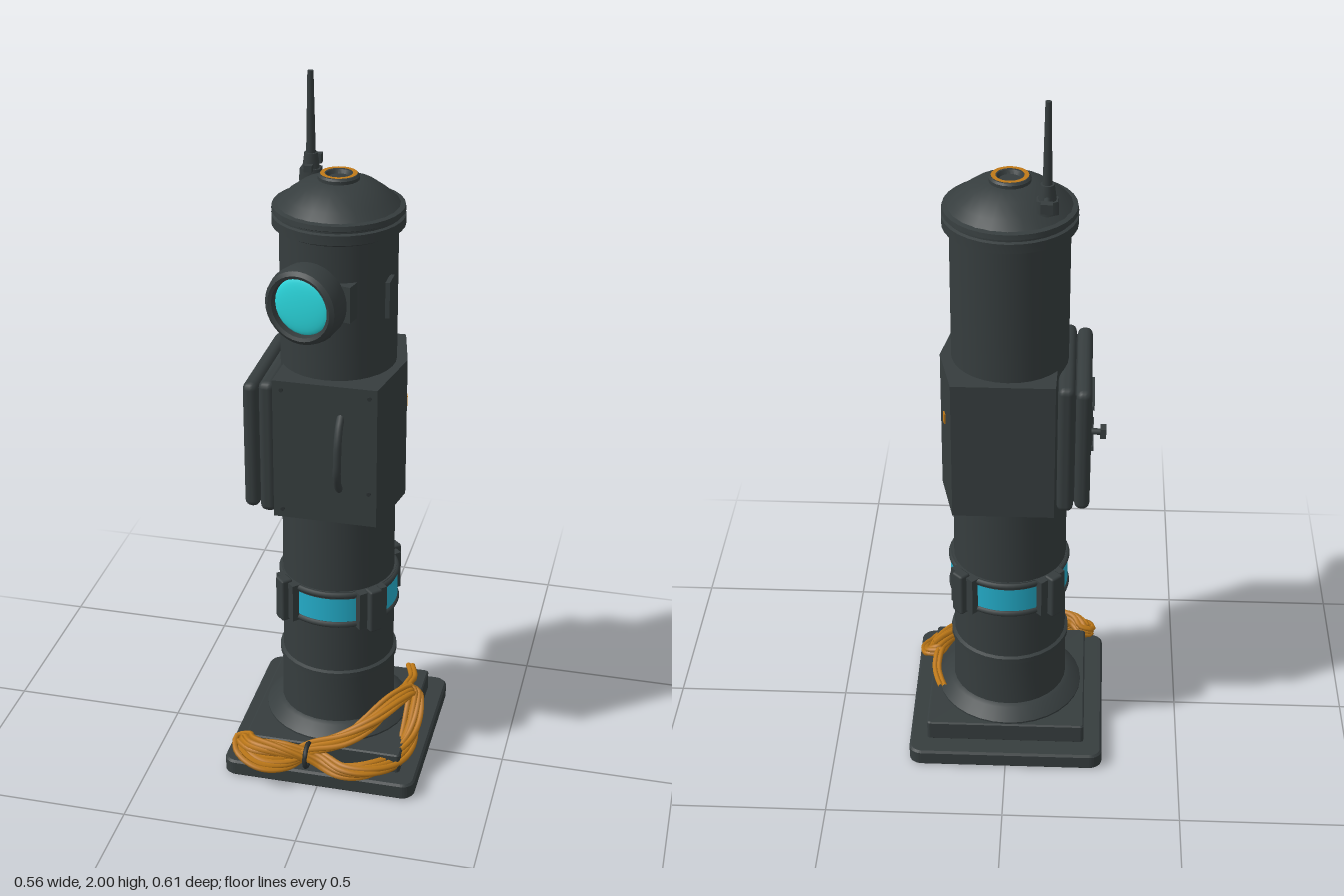
import * as THREE from 'three';
import { RoundedBoxGeometry } from 'three/addons/geometries/RoundedBoxGeometry.js';
import { toCreasedNormals } from 'three/addons/utils/BufferGeometryUtils.js';

const material = (name, color, side = THREE.FrontSide) => {
  const m = new THREE.MeshStandardMaterial({ color, side });
  m.name = name;
  return m;
};
const V = (x, y, z) => new THREE.Vector3(x, y, z);
const AXIS_Z = -0.032; // column axis

export function createModel() {
  const charcoal = material('charcoal metal', 0x363d3e);
  const dark = material('dark metal', 0x2b3132);
  const lensCyan = material('lens cyan', 0x2ad6dc);
  const panelBlue = material('panel blue', 0x24aecb, THREE.DoubleSide);
  const orange = material('orange cable', 0xc07a18);

  const model = new THREE.Group();
  model.name = 'beaconPost';
  const add = (name, geometry, mat, pos = [0, 0, 0], parent = model) => {
    const mesh = new THREE.Mesh(geometry, mat);
    mesh.name = name;
    mesh.position.set(...pos);
    parent.add(mesh);
    return mesh;
  };
  const group = (name, x, y, z, parent = model) => {
    const g = new THREE.Group();
    g.name = name;
    g.position.set(x, y, z);
    parent.add(g);
    return g;
  };
  const lathe = (pts, seg = 32) =>
    toCreasedNormals(new THREE.LatheGeometry(pts.map(p => new THREE.Vector2(...p)), seg), 0.5);
  const cyl = (r1, r2, h, seg = 24) => new THREE.CylinderGeometry(r1, r2, h, seg);
  const box = (w, h, d) => new THREE.BoxGeometry(w, h, d);

  // Slab with rounded plan corners, lying flat
  const slab = (hw, hd, r, h, bevel) => {
    const w = hw - bevel, d = hd - bevel, s = new THREE.Shape();
    [[w - r, d - r, 0], [r - w, d - r, 1], [r - w, r - d, 2], [w - r, r - d, 3]].forEach(
      ([x, y, q]) => s.absarc(x, y, r, q * Math.PI / 2, (q + 1) * Math.PI / 2, false));
    const g = new THREE.ExtrudeGeometry(s, {
      depth: h - 2 * bevel, bevelThickness: bevel, bevelSize: bevel, bevelSegments: 1, curveSegments: 4 });
    return g.translate(0, 0, bevel).rotateX(-Math.PI / 2);
  };

  // Stepped base
  add('basePlate', slab(0.28, 0.28, 0.03, 0.05, 0.006), charcoal, [0, 0, -0.025]);
  add('baseStep', slab(0.228, 0.223, 0.006, 0.062, 0.004), charcoal, [0.002, 0.048, -0.023]);

  // Column with foot flare, ring, top flange and dome
  const core = group('column', -0.003, 0, AXIS_Z);
  add('columnBody', lathe([
    [0.21, 0.1], [0.21, 0.115], [0.178, 0.145], [0.165, 0.15], [0.162, 0.3], [0.17, 0.303],
    [0.17, 0.318], [0.161, 0.322], [0.158, 1.0], [0.158, 1.625]]), charcoal, [0, 0, 0], core);
  add('topFlange', lathe([
    [0.157, 1.618], [0.177, 1.628], [0.177, 1.654], [0.169, 1.657], [0.169, 1.662],
    [0.177, 1.666], [0.175, 1.679], [0.16, 1.682]]), charcoal, [0, 0, 0], core);
  add('dome', lathe([[0.166, 1.678], [0.14, 1.703], [0.1, 1.732], [0.06, 1.746], [0, 1.748]], 24),
    charcoal, [0, 0, 0], core);
  add('domeCap', lathe([
    [0.055, 1.74], [0.055, 1.755], [0.05, 1.76], [0.034, 1.76], [0.028, 1.75], [0, 1.75]], 20),
    charcoal, [0, 0, 0], core);
  const capRing = new THREE.RingGeometry(0.037, 0.049, 24).rotateX(-Math.PI / 2);
  add('capRing', capRing, orange, [0, 1.762, 0], core);

  // Antenna on a hexagonal nut with a side clamp
  const antenna = group('antenna', -0.1, 0, -0.122);
  add('antennaNut', cyl(0.031, 0.034, 0.035, 6), charcoal, [0, 1.722, 0], antenna);
  add('antennaSocket', cyl(0.018, 0.024, 0.045, 12), charcoal, [0, 1.758, 0], antenna);
  add('antennaRod', cyl(0.008, 0.013, 0.23, 10), charcoal, [0, 1.885, 0], antenna);
  const arm = cyl(0.009, 0.009, 0.06, 8).rotateX(Math.PI / 2);
  add('clampArm', arm, charcoal, [0, 1.745, -0.03], antenna);
  add('clampKnob', box(0.03, 0.026, 0.022), charcoal, [0, 1.745, -0.062], antenna);
  add('clampBolt', box(0.022, 0.018, 0.03), charcoal, [0, 1.745, 0.022], antenna);

  // Lamp, turned a little toward the model's right
  const lamp = group('lamp', 0, 1.468, AXIS_Z);
  lamp.rotation.y = -0.24;
  add('lampMount', box(0.2, 0.1, 0.11), charcoal, [0.008, 0, 0.1], lamp);
  add('lampBarrel', lathe([
    [0.085, 0.1], [0.088, 0.155], [0.104, 0.165], [0.107, 0.205], [0.101, 0.228], [0.09, 0.236],
    [0.081, 0.232], [0.079, 0.215], [0.079, 0.205]]).rotateX(Math.PI / 2), charcoal, [0, 0, 0], lamp);
  add('lampLens', new THREE.SphereGeometry(0.08, 24, 8, 0, Math.PI * 2, 0, Math.PI / 2)
    .scale(1, 0.18, 1).rotateX(Math.PI / 2), lensCyan, [0, 0, 0.212], lamp);
  add('sidePlate', box(0.012, 0.1, 0.06), charcoal, [0.151, 1.46, 0.04]);

  // Equipment box with a slightly pointed left side
  const plan = new THREE.Shape([[-0.14, -0.158], [0.146, -0.158], [0.184, 0.05], [0.146, 0.214],
    [-0.13, 0.214]].map(p => new THREE.Vector2(...p)));
  add('equipmentBox', new THREE.ExtrudeGeometry(plan, { depth: 0.41, bevelEnabled: false })
    .rotateX(-Math.PI / 2), charcoal, [0, 0.83, 0]);
  for (const [x, y] of [[-0.115, 0.855], [0.125, 0.93], [-0.115, 1.215], [0.125, 1.215]])
    add('boxScrew', cyl(0.006, 0.006, 0.006, 8).rotateX(Math.PI / 2), dark, [x, y, 0.159]);
  add('labelChip', box(0.006, 0.03, 0.018), orange, [0.169, 1.085, -0.12]).rotation.y = 0.23;

  // Bowed pull handle on the box front
  const bow = new THREE.CatmullRomCurve3([
    V(0.042, 0.93, 0.15), V(0.042, 0.955, 0.172), V(0.045, 1.0, 0.194), V(0.047, 1.04, 0.198),
    V(0.047, 1.085, 0.194), V(0.046, 1.13, 0.172), V(0.046, 1.152, 0.15)]);
  add('frontHandle', new THREE.TubeGeometry(bow, 20, 0.011, 8), charcoal);

  // Side door with latch recess and knob
  const door = group('sideDoor', 0, 1.033, -0.022);
  add('doorFrame', new RoundedBoxGeometry(0.045, 0.39, 0.362, 2, 0.018), charcoal, [-0.158, 0, 0], door);
  add('doorSeal', box(0.02, 0.34, 0.32), dark, [-0.18, 0, 0], door);
  add('doorPanel', new RoundedBoxGeometry(0.042, 0.374, 0.362, 2, 0.019), charcoal, [-0.204, 0, 0], door);
  add('latchPlate', box(0.008, 0.13, 0.14), dark, [-0.225, 0.005, 0.01], door);
  for (const y of [-0.06, 0.07])
    add('latchRail', box(0.012, 0.014, 0.15), charcoal, [-0.227, y, 0.01], door);
  add('latchStem', cyl(0.009, 0.009, 0.04, 8).rotateZ(Math.PI / 2), charcoal, [-0.24, 0, -0.07], door);
  add('latchKnob', box(0.016, 0.03, 0.028), charcoal, [-0.258, 0, -0.07], door);

  // Light band: four curved panels between corner brackets
  const band = group('lightBand', -0.001, 0.53, AXIS_Z);
  const arc = (r, h, half) => new THREE.CylinderGeometry(r, r, h, 12, 1, true, -half, half * 2);
  add('bandBody', cyl(0.164, 0.164, 0.115, 32), charcoal, [0, 0, 0], band);
  for (let i = 0; i < 4; i++) {
    const side = group('bandSide', 0, 0, 0, band);
    side.rotation.y = i * Math.PI / 2;
    add('lightPanel', arc(0.168, 0.074, 0.58), panelBlue, [0, 0, 0], side);
    for (const y of [-0.048, 0.048])
      add('panelRail', new THREE.TorusGeometry(0.164, 0.009, 6, 12, 1.3)
        .rotateZ(Math.PI / 2 - 0.65).rotateX(Math.PI / 2), charcoal, [0, y, 0], side);
    const corner = group('cornerBracket', 0, 0, 0, side);
    corner.rotation.y = Math.PI / 4;
    add('bracketPlate', box(0.09, 0.115, 0.03), charcoal, [0, 0, 0.167], corner);
    add('bracketClasp', new RoundedBoxGeometry(0.04, 0.132, 0.034, 1, 0.006), charcoal, [0, 0, 0.184], corner);
  }

  // Cable bundle: strands twisted round a figure-eight loop
  const loop = new THREE.CatmullRomCurve3([
    V(-0.03, 0.105, 0.222), V(0.06, 0.135, 0.195), V(0.13, 0.168, 0.14), V(0.19, 0.198, 0.04),
    V(0.222, 0.195, -0.015), V(0.238, 0.155, 0.035), V(0.238, 0.105, 0.11), V(0.21, 0.08, 0.18),
    V(0.15, 0.074, 0.235), V(0.08, 0.074, 0.255), V(0, 0.085, 0.235), V(-0.1, 0.115, 0.252),
    V(-0.19, 0.115, 0.245), V(-0.23, 0.1, 0.205), V(-0.224, 0.085, 0.24), V(-0.16, 0.074, 0.272),
    V(-0.09, 0.08, 0.258)], true);
  const cables = group('cableBundle', 0, 0, 0);
  const STRANDS = 9, STEPS = 70;
  for (let k = 0; k < STRANDS; k++) {
    const spread = k === 0 ? 0 : 0.75 + 0.25 * Math.sin(k * 2.4);
    const pts = [];
    for (let i = 0; i < STEPS; i++) {
      const t = i / STEPS, p = loop.getPointAt(t), tan = loop.getTangentAt(t);
      const sideways = V(tan.z, 0, -tan.x).normalize();
      const a = Math.PI * 2 * (k / (STRANDS - 1) + 2 * t);
      p.addScaledVector(sideways, Math.cos(a) * 0.024 * spread);
      p.y += Math.sin(a) * 0.017 * spread;
      pts.push(p);
    }
    add('cableStrand', new THREE.TubeGeometry(new THREE.CatmullRomCurve3(pts, true), 110, 0.0085, 5, true),
      orange, [0, 0, 0], cables);
  }
  // Loose cable ends
  for (const d of [-0.006, 0.006]) {
    const tail = new THREE.CatmullRomCurve3([
      V(0.19 + d, 0.195, 0.04), V(0.208 + d, 0.2, -0.04), V(0.21 + d, 0.187, -0.09),
      V(0.2 + d, 0.18, -0.13), V(0.188 + d, 0.178, -0.162)]);
    add('cableEnd', new THREE.TubeGeometry(tail, 16, 0.008, 6), orange, [0, 0, 0], cables);
  }
  add('cableTie', new THREE.TorusGeometry(0.034, 0.007, 6, 16).rotateY(Math.PI / 2),
    dark, [-0.032, 0.095, 0.235], cables);

  return model;
}
